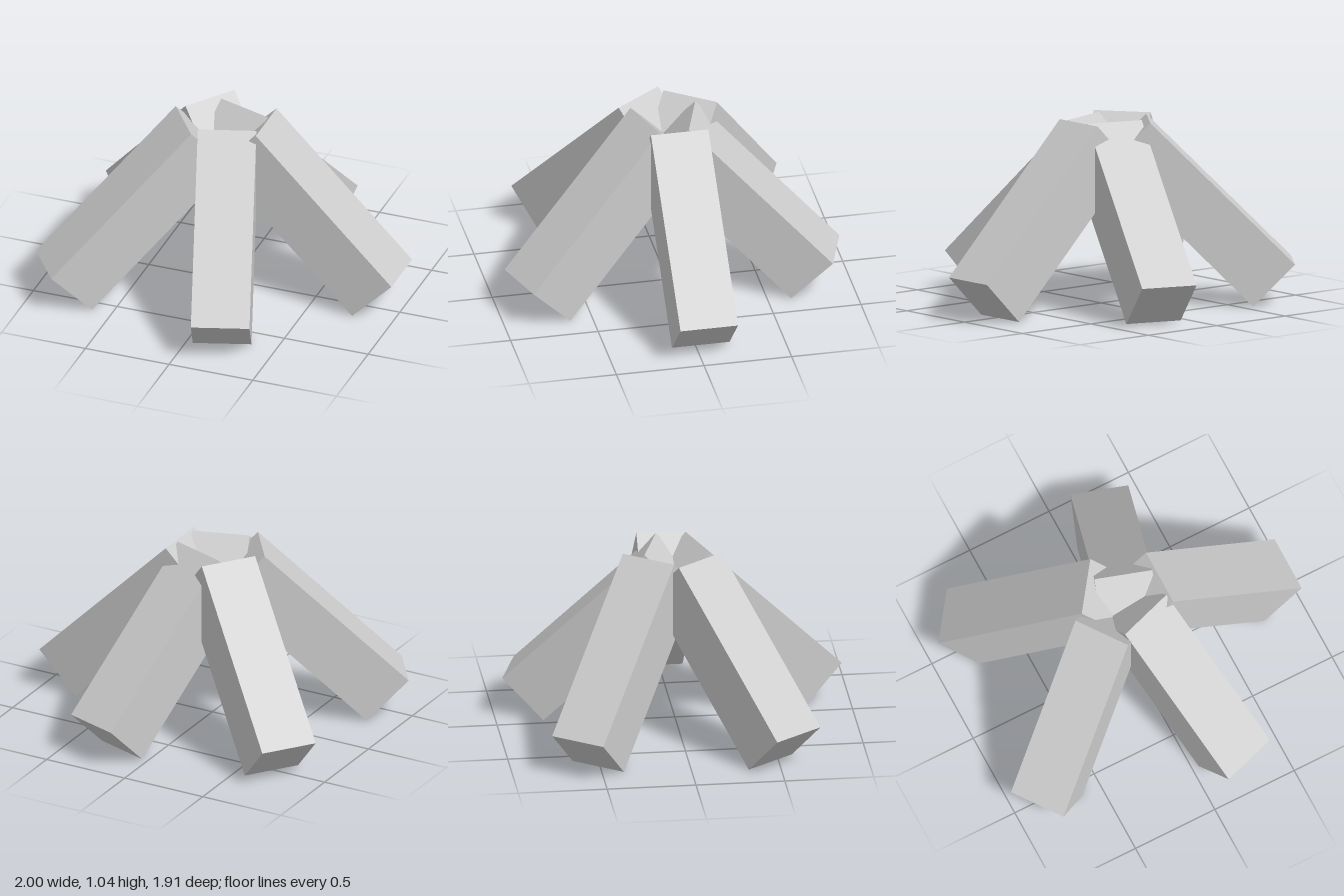
import * as THREE from 'three';

// Five square beams leaning together at 45 degrees, like a campfire stack
export function createModel() {
  const model = new THREE.Group();
  model.name = 'logPile';
  const material = new THREE.MeshStandardMaterial({ color: 0xcccccc, flatShading: true });

  const rise = 0.81;  // height and run of a beam's long edge
  const foot = 0.235; // height and run of a beam's end face
  const half = (rise + foot) / 2;
  const geometry = new THREE.BoxGeometry(rise * Math.SQRT2, foot * Math.SQRT2, 0.328);
  geometry.rotateZ(-Math.PI / 4);
  geometry.translate(-half, half, 0); // origin below the outermost edge

  // x, z of each beam's outermost edge, going round in 72 degree steps
  const feet = [[1.0, -0.03], [0.268, 0.902], [-0.905, 0.59], [-0.855, -0.648], [0.268, -0.907]];
  feet.forEach(([x, z], i) => {
    const log = new THREE.Mesh(geometry, material);
    log.name = `log${i + 1}`;
    log.position.set(x, 0, z);
    log.rotation.y = -i * Math.PI * 2 / 5;
    model.add(log);
  });
  return model;
}
